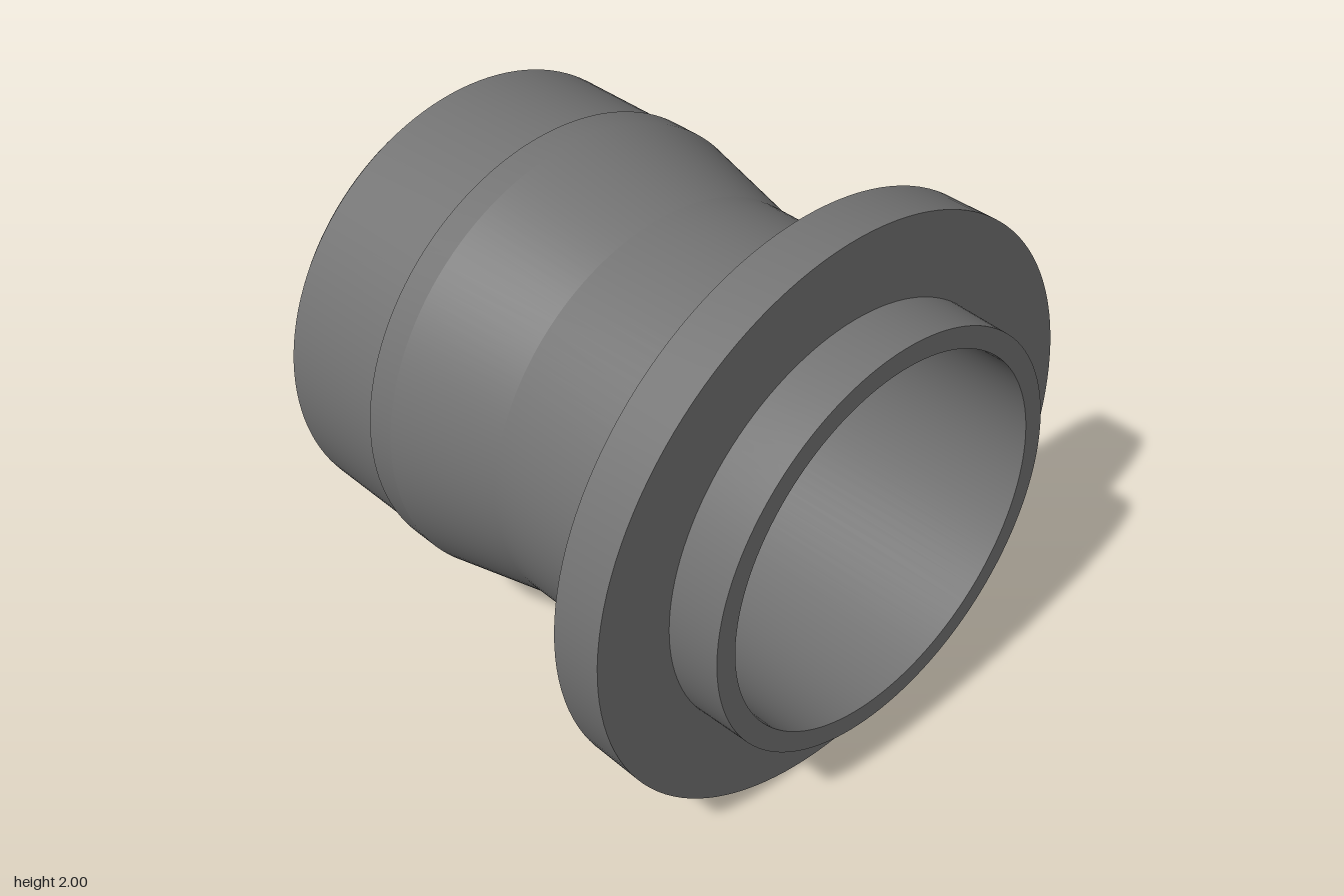
import * as THREE from 'three';
import { toCreasedNormals } from 'three/addons/utils/BufferGeometryUtils.js';

const SEGMENTS = 128;

// Revolves [radius, z] points around the z axis, keeping profile corners sharp
function ring(name, profile, material) {
  const points = profile.map(([r, z]) => new THREE.Vector2(r, z));
  const geometry = toCreasedNormals(new THREE.LatheGeometry(points, SEGMENTS), 0.1);
  geometry.rotateX(Math.PI / 2);
  const mesh = new THREE.Mesh(geometry, material);
  mesh.name = name;
  mesh.position.y = 1;
  return mesh;
}

export function createModel() {
  const model = new THREE.Group();
  model.name = 'flangedSleeve';

  const darkGrey = new THREE.MeshStandardMaterial({ color: 0x737373 });
  darkGrey.name = 'darkGrey';

  // Hollow sleeve: outer wall from back to front, then the bore from front to back
  model.add(ring('sleeve', [
    [0.73, -0.95],
    [0.785, -0.95],   // chamfered back rim
    [0.803, -0.93],
    [0.803, -0.505],  // small step up to the collar
    [0.815, -0.505],
    [0.815, -0.4],
    [0.725, 0],       // taper down to the neck
    [0.725, 0.765],
    [0.718, 0.95],    // slightly drafted nose
    [0.645, 0.95],
    [0.645, 0],       // bore widens towards the back
    [0.73, -0.4],
    [0.73, -0.95],
  ], darkGrey));

  // Flange disc around the neck
  model.add(ring('flange', [
    [0.7, 0.585],
    [1, 0.585],
    [1, 0.765],
    [0.7, 0.765],
  ], darkGrey));

  return model;
}
